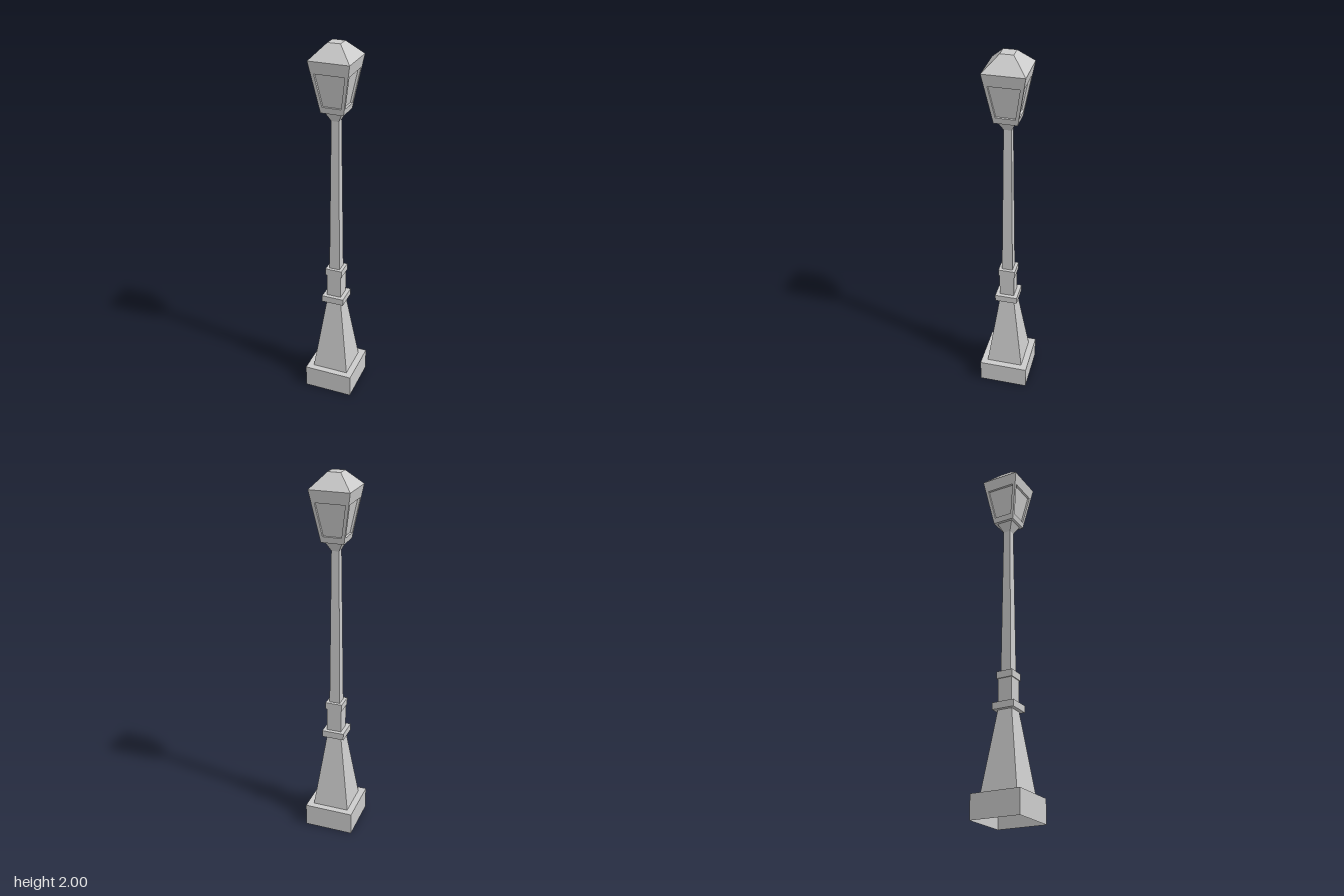
import * as THREE from 'three';

const material = new THREE.MeshStandardMaterial({ color: 0xcccccc, flatShading: true });
const doubleSided = material.clone();
doubleSided.side = THREE.DoubleSide;

// Square tapered block between heights y0 and y1, with half widths h0 and h1
function block(name, y0, y1, h0, h1 = h0, open = false) {
  const r = Math.SQRT2;
  const geo = new THREE.CylinderGeometry(h1 * r, h0 * r, y1 - y0, 4, 1, open);
  geo.rotateY(Math.PI / 4).translate(0, (y0 + y1) / 2, 0);
  const mesh = new THREE.Mesh(geo, open ? doubleSided : material);
  mesh.name = name;
  return mesh;
}

// Joins rings of four corners from the outside in, then closes the last one
function nestedRings(rings) {
  const pos = [];
  const quad = (a, b, c, d) => pos.push(...a, ...b, ...c, ...a, ...c, ...d);
  for (let k = 0; k < rings.length - 1; k++) {
    for (let i = 0; i < 4; i++) {
      const j = (i + 1) % 4;
      quad(rings[k][i], rings[k][j], rings[k + 1][j], rings[k + 1][i]);
    }
  }
  quad(...rings[rings.length - 1]);
  const geo = new THREE.BufferGeometry();
  geo.setAttribute('position', new THREE.Float32BufferAttribute(pos, 3));
  geo.computeVertexNormals();
  return geo;
}

export function createModel() {
  const model = new THREE.Group();
  model.name = 'streetLamp';

  // Plinth, hollow and open underneath
  const plinth = new THREE.Group();
  plinth.name = 'plinth';
  const top = new THREE.Mesh(new THREE.PlaneGeometry(0.27, 0.27), doubleSided);
  top.name = 'plinthTop';
  top.rotation.x = -Math.PI / 2;
  top.position.y = 0.127;
  plinth.add(block('plinthWalls', 0, 0.127, 0.135, 0.135, true), top);
  model.add(plinth);

  // Post
  model.add(
    block('pedestal', 0.127, 0.557, 0.1, 0.04),
    block('lowerCollar', 0.557, 0.594, 0.061),
    block('neck', 0.594, 0.726, 0.04),
    block('upperCollar', 0.726, 0.764, 0.046),
    block('pole', 0.764, 1.62, 0.029, 0.02),
    block('lanternFunnel', 1.61, 1.66, 0.02, 0.045)
  );

  // Lantern: four sloping frames with recessed panes, a floor and a roof
  const lantern = new THREE.Group();
  lantern.name = 'lantern';
  const y0 = 1.66, y1 = 1.925, h0 = 0.06, h1 = 0.106;
  const half = (y) => h0 + ((h1 - h0) * (y - y0)) / (y1 - y0);
  const ring = (lo, hi, wLo, wHi, depth) => [
    [-wLo, lo, half(lo) - depth], [wLo, lo, half(lo) - depth],
    [wHi, hi, half(hi) - depth], [-wHi, hi, half(hi) - depth],
  ];
  const sideGeo = nestedRings([
    ring(y0, y1, h0, h1, 0),
    ring(1.692, 1.862, 0.049, 0.078, 0),
    ring(1.692, 1.862, 0.049, 0.078, 0.012),
  ]);
  for (let i = 0; i < 4; i++) {
    const side = new THREE.Mesh(sideGeo, material);
    side.name = 'lanternSide' + (i + 1);
    side.rotation.y = (i * Math.PI) / 2;
    lantern.add(side);
  }
  const floor = new THREE.Mesh(new THREE.PlaneGeometry(2 * h0, 2 * h0), doubleSided);
  floor.name = 'lanternFloor';
  floor.rotation.x = Math.PI / 2;
  floor.position.y = y0;
  lantern.add(floor, block('roof', y1, 2, h1, 0.033));
  model.add(lantern);

  return model;
}
